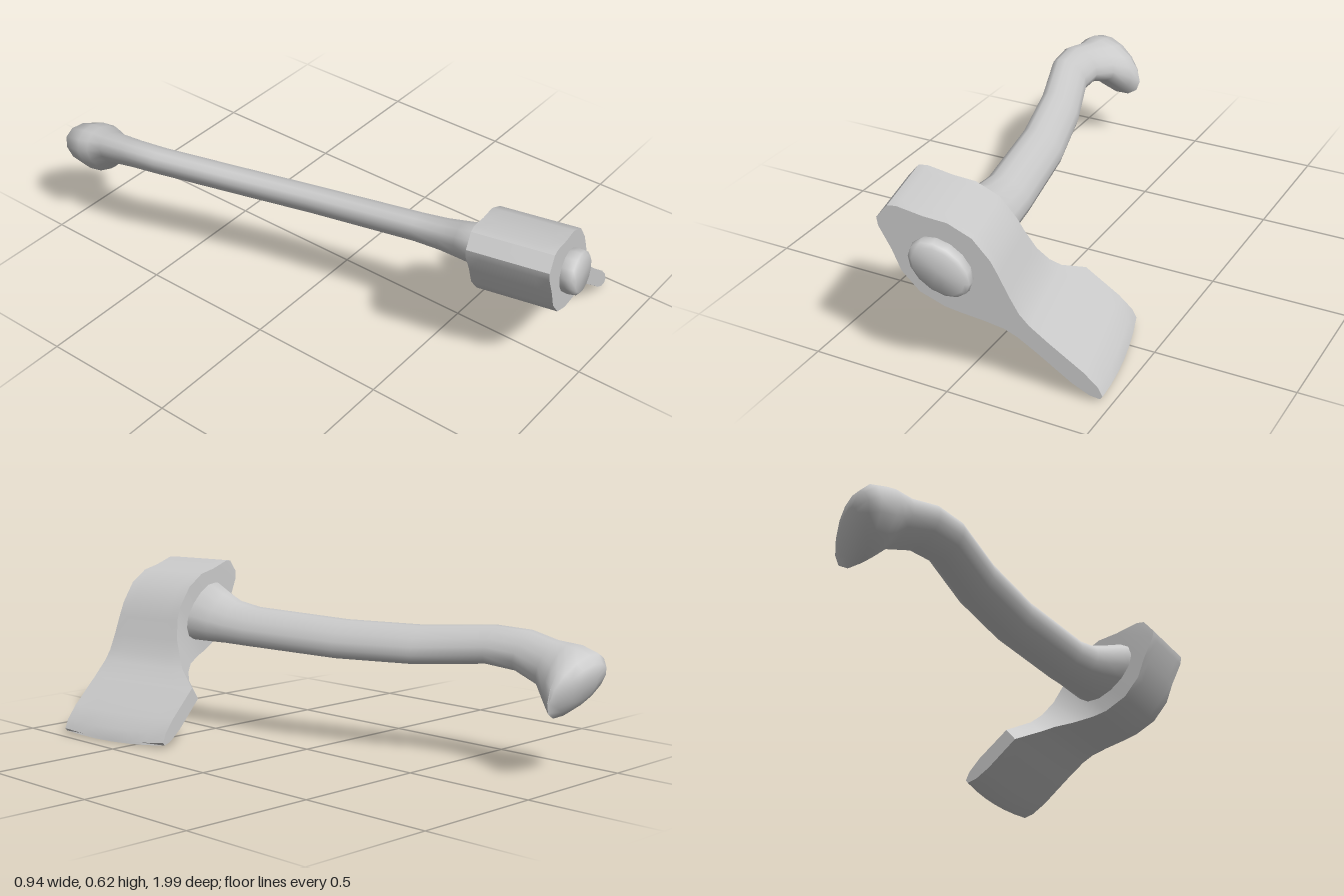
import * as THREE from 'three';
import { toCreasedNormals } from 'three/addons/utils/BufferGeometryUtils.js';

const material = new THREE.MeshStandardMaterial({ color: 0xcccccc });

// Skin a list of equal-length rings of points and close both ends with a fan.
function loft(name, rings, crease) {
  const n = rings[0].length;
  const points = rings.flat();
  const index = [];
  for (let i = 0; i < rings.length - 1; i++) {
    for (let j = 0; j < n; j++) {
      const a = i * n + j, b = i * n + (j + 1) % n;
      index.push(a, b, b + n, a, b + n, a + n);
    }
  }
  const last = (rings.length - 1) * n;
  for (const [start, ring, flip] of [[0, rings[0], true], [last, rings[rings.length - 1], false]]) {
    const centre = new THREE.Vector3();
    ring.forEach((p) => centre.addScaledVector(p, 1 / n));
    const c = points.push(centre) - 1;
    for (let j = 0; j < n; j++) {
      const a = start + j, b = start + (j + 1) % n;
      index.push(c, flip ? b : a, flip ? a : b);
    }
  }
  const geometry = new THREE.BufferGeometry().setFromPoints(points);
  geometry.setIndex(index);
  const mesh = new THREE.Mesh(toCreasedNormals(geometry, crease), material);
  mesh.name = name;
  return mesh;
}

// Elliptical ring; turn = -1 for rings that progress towards -z, slope tilts the ring.
function oval(x, y, z, a, b, turn, slope = 0, sides = 14) {
  return Array.from({ length: sides }, (_, j) => {
    const t = (j / sides) * Math.PI * 2;
    const dx = a * Math.cos(t);
    return new THREE.Vector3(x + dx, y + turn * b * Math.sin(t), z + slope * dx);
  });
}

// Head section across the blade direction: half thickness t, from z = back to z = front.
function headRing([x, t, back, bow = 0, front = -0.055]) {
  const steps = 6, ring = [];
  for (const side of [1, -1]) {
    for (let k = 0; k <= steps; k++) {
      const s = side > 0 ? k / steps : 1 - k / steps;
      ring.push(new THREE.Vector3(x + bow * 4 * s * (1 - s), side * t, back + (front - back) * s));
    }
  }
  return ring;
}

export function createModel() {
  const group = new THREE.Group();
  group.name = 'axe';

  // Axe frame: x from poll to cutting edge, y through the thickness, z along the handle.
  const axe = new THREE.Group();
  axe.name = 'tiltedAxe';
  const w = new THREE.Vector3(0.21, 0, 0.978).normalize();
  const v = new THREE.Vector3().crossVectors(w, new THREE.Vector3(0.757, -0.635, -0.156)).normalize();
  const u = new THREE.Vector3().crossVectors(v, w);
  axe.quaternion.setFromRotationMatrix(new THREE.Matrix4().makeBasis(u, v, w));
  axe.position.set(-0.02, 0.445, 0.99);
  group.add(axe);

  // Head: narrow poll, swollen eye, thin bearded blade. [x, half thickness, back z, bow]
  const head = [
    [-0.25, 0.03, -0.335], [-0.228, 0.05, -0.337], [-0.147, 0.086, -0.337],
    [-0.078, 0.125, -0.337], [0.01, 0.141, -0.337], [0.1, 0.122, -0.335],
    [0.15, 0.1, -0.34], [0.22, 0.066, -0.362], [0.282, 0.04, -0.4],
    [0.33, 0.031, -0.435], [0.41, 0.029, -0.525], [0.56, 0.03, -0.526, 0.006],
    [0.625, 0.022, -0.526, 0.012], [0.658, 0.007, -0.526, 0.018],
  ];
  axe.add(loft('axeHead', head.map(headRing), 0.75));

  // Handle: flared at the eye, gently bowed, hooked knob at the end.
  // [x, y, z, half width, half thickness, slope]
  const handle = [
    [0, 0, -0.1, 0.11, 0.07], [0, 0, -0.345, 0.138, 0.075],
    [0.025, 0, -0.43, 0.115, 0.065], [0.043, 0, -0.5, 0.098, 0.057],
    [0.056, 0, -0.6, 0.09, 0.052], [0.066, -0.008, -1.0, 0.087, 0.05],
    [0.048, -0.018, -1.31, 0.085, 0.05], [0.007, -0.026, -1.58, 0.082, 0.05],
    [0.02, -0.026, -1.71, 0.085, 0.052, 0.15], [0.066, -0.026, -1.82, 0.094, 0.057, 0.15],
    [0.108, -0.033, -1.875, 0.13, 0.08, 0.1], [0.13, -0.037, -1.91, 0.148, 0.09, 0.12],
    [0.143, -0.037, -1.945, 0.132, 0.082, 0.4], [0.15, -0.037, -1.968, 0.1, 0.064, 0.52],
    [0.157, -0.037, -1.98, 0.05, 0.035, 0.55],
  ];
  axe.add(loft('handle', handle.map(([x, y, z, a, b, s]) => oval(x, y, z, a, b, -1, s)), 1.2));

  // End of the handle bulging out of the front of the eye.
  const tenon = [[-0.09, 0.1, 0.066], [-0.055, 0.111, 0.075], [-0.035, 0.116, 0.079],
    [-0.014, 0.112, 0.076], [-0.004, 0.097, 0.065]];
  axe.add(loft('handleTenon', tenon.map(([z, a, b]) => oval(0, 0, z, a, b, 1)), 1.0));

  return group;
}
